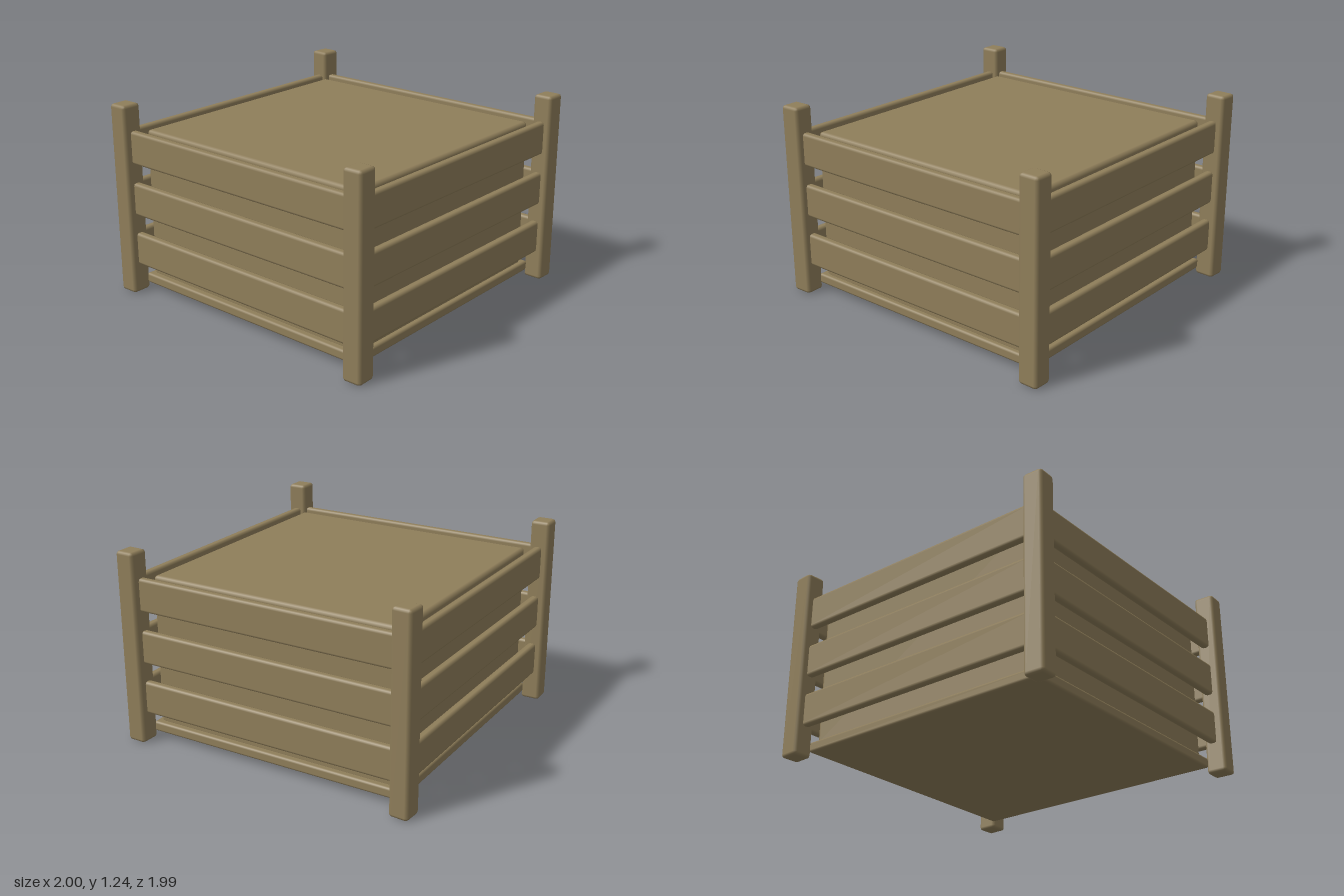
import * as THREE from 'three';
import { RoundedBoxGeometry } from 'three/addons/geometries/RoundedBoxGeometry.js';

export function createModel() {
  const root = new THREE.Group();
  root.name = 'slattedCrate';
  const wood = new THREE.MeshStandardMaterial({ color: 0x8f7e5a });
  wood.name = 'weathered wood';

  // Box with softened edges, placed by its centre
  function block(name, size, pos, bevel, parent = root) {
    const mesh = new THREE.Mesh(new RoundedBoxGeometry(...size, 1, bevel), wood);
    mesh.name = name;
    mesh.position.set(...pos);
    parent.add(mesh);
    return mesh;
  }

  // Base slab and the solid inner body
  block('baseSlab', [1.76, 0.065, 1.76], [0, 0.078, 0], 0.015);
  block('innerBody', [1.68, 0.98, 1.7], [0, 0.58, 0], 0.024);

  // Corner posts, each turned a touch
  const turns = [0.03, -0.02, 0.02, -0.06];
  [[-1, 1], [1, 1], [-1, -1], [1, -1]].forEach(([sx, sz], i) => {
    const post = block('cornerPost', [0.132, 1.24, 0.125], [sx * 0.932, 0.625, sz * 0.93], 0.02);
    post.rotation.y = turns[i];
  });

  // Three slats on each of the four sides
  for (let i = 0; i < 4; i++) {
    const side = new THREE.Group();
    side.name = 'slatSide';
    side.rotation.y = i * Math.PI / 2;
    for (const y of [0.302, 0.635, 0.972]) {
      block('slat', [1.76, 0.212, 0.054], [0, y, 0.925], 0.018, side);
    }
    root.add(side);
  }
  return root;
}
